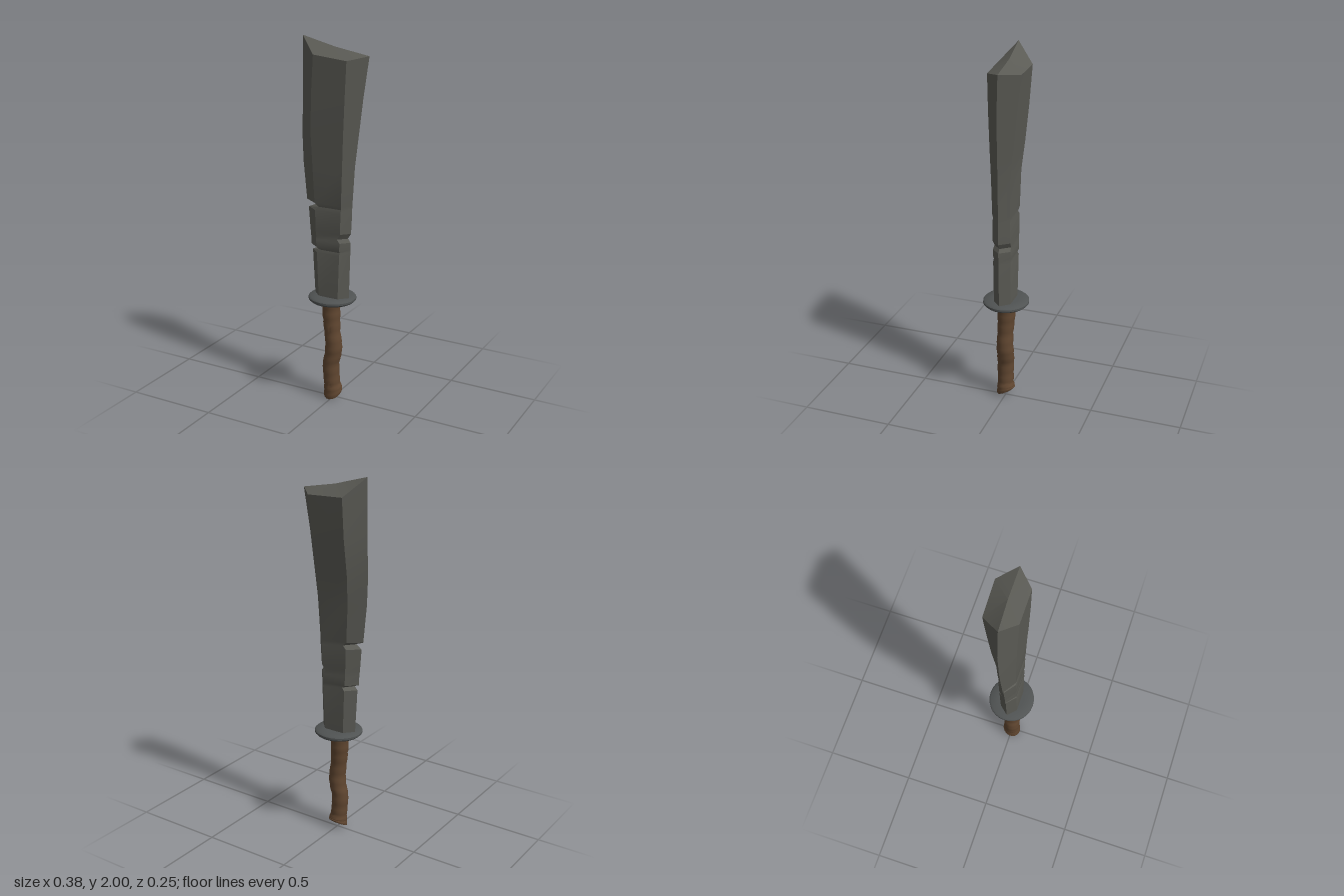
import * as THREE from 'three';
import { toCreasedNormals } from 'three/addons/utils/BufferGeometryUtils.js';

// Skin a stack of rings (bottom to top), closing each end with a fan to a centre point
function loft(rings, bottom, top, crease) {
  const n = rings[0].length;
  const pos = [...rings.flat(2), ...bottom, ...top];
  const idx = [];
  const b = rings.length * n, last = (rings.length - 1) * n;
  for (let r = 0; r < rings.length - 1; r++) {
    for (let i = 0; i < n; i++) {
      const a = r * n + i, c = r * n + (i + 1) % n;
      idx.push(a, c, c + n, a, c + n, a + n);
    }
  }
  for (let i = 0; i < n; i++) {
    const j = (i + 1) % n;
    idx.push(b, j, i, b + 1, last + i, last + j);
  }
  const g = new THREE.BufferGeometry();
  g.setAttribute('position', new THREE.Float32BufferAttribute(pos, 3));
  g.setIndex(idx);
  return toCreasedNormals(g, crease);
}

function makeBlade() {
  // y, left edge, left ridge, right ridge, right edge, front z, back z, edge z
  const sections = [
    [0.59, -0.11, -0.065, 0.05, 0.095, 0.05, -0.045, 0.005],
    [0.86, -0.125, -0.075, 0.06, 0.103, 0.05, -0.048, 0.005],
    [0.877, -0.09, -0.06, 0.06, 0.103, 0.046, -0.046, 0.005],
    [0.89, -0.135, -0.077, 0.06, 0.104, 0.05, -0.048, 0.005],
    [0.93, -0.135, -0.08, 0.062, 0.104, 0.05, -0.048, 0.005],
    [0.95, -0.137, -0.08, 0.045, 0.088, 0.047, -0.046, 0.005],
    [0.98, -0.14, -0.082, 0.065, 0.107, 0.05, -0.048, 0.005],
    [1.095, -0.15, -0.085, 0.068, 0.112, 0.05, -0.048, 0.003],
    [1.115, -0.105, -0.065, 0.069, 0.112, 0.046, -0.046, 0.003],
    [1.135, -0.16, -0.088, 0.07, 0.113, 0.05, -0.048, 0.003],
    [1.34, -0.182, -0.098, 0.078, 0.125, 0.053, -0.052, 0],
    [1.5, -0.19, -0.105, 0.085, 0.143, 0.057, -0.07, -0.004],
    [1.7, -0.187, -0.1, 0.095, 0.165, 0.06, -0.092, -0.01]
  ];
  const rings = sections.map(([y, l, fl, fr, r, f, b, e]) => [
    [l, y, e], [fl, y, f], [fr, y, f], [r, y, e], [fr, y, b], [fl, y, b]
  ]);
  // Slanted, bevelled tip
  rings.push([
    [-0.182, 2, -0.005], [-0.085, 1.915, 0.063], [0.105, 1.895, 0.06],
    [0.19, 1.915, -0.025], [0.1, 1.9, -0.115], [-0.1, 1.905, -0.108]
  ]);
  return loft(rings, [0, 0.59, 0], [0.0, 1.95, -0.02], 0.3);
}

function makeHandle() {
  // height, centre x, centre z, radius
  const keys = [
    [0.03, -0.005, 0, 0.05], [0.055, -0.004, 0, 0.05], [0.085, -0.008, 0.002, 0.045],
    [0.14, -0.012, 0.004, 0.045], [0.21, -0.014, 0.004, 0.046], [0.27, -0.002, 0.002, 0.047],
    [0.33, 0.002, 0.004, 0.046], [0.4, -0.006, 0.004, 0.044], [0.47, -0.012, 0.002, 0.047],
    [0.53, -0.015, 0, 0.049], [0.59, -0.015, 0, 0.05]
  ];
  const sides = 16, steps = 40;
  const centre = new THREE.CatmullRomCurve3(keys.map(k => new THREE.Vector3(k[1], k[0], k[2])));
  const radius = new THREE.CatmullRomCurve3(keys.map(k => new THREE.Vector3(k[3], k[0], 0)));
  const rings = [];
  for (let s = 0; s <= steps; s++) {
    const t = s / steps;
    const c = centre.getPoint(t);
    // Small regular swelling reads as wrapped leather
    const rad = radius.getPoint(t).x + (s % 4 === 0 ? -0.0015 : 0.001);
    const tilt = -0.12 - 0.4 * Math.max(0, 1 - t * 6);
    const ring = [];
    for (let i = 0; i < sides; i++) {
      const a = -i / sides * Math.PI * 2;
      const x = Math.cos(a) * rad, z = Math.sin(a) * rad;
      ring.push([c.x + x, c.y + z * tilt * (1 - t) + x * 0.1 * (1 - t), c.z + z]);
    }
    rings.push(ring);
  }
  return loft(rings, [-0.005, 0.027, 0], [-0.015, 0.59, 0], 0.7);
}

function makeGuard() {
  // Shallow dish with a rounded rim
  const profile = [
    [0, 0.56], [0.055, 0.56], [0.085, 0.573], [0.12, 0.585], [0.131, 0.595],
    [0.131, 0.606], [0.122, 0.614], [0.07, 0.614], [0, 0.612]
  ].map(p => new THREE.Vector2(p[0], p[1]));
  const g = toCreasedNormals(new THREE.LatheGeometry(profile, 28), 0.8);
  g.scale(1, 1, 0.96);
  g.translate(-0.008, 0, 0);
  return g;
}

export function createModel() {
  const steel = new THREE.MeshStandardMaterial({ name: 'dull steel', color: 0x5a5a54 });
  const iron = new THREE.MeshStandardMaterial({ name: 'dark iron', color: 0x505353 });
  const leather = new THREE.MeshStandardMaterial({ name: 'brown leather', color: 0x604630 });
  const model = new THREE.Group();
  model.name = 'machete';
  const add = (name, geometry, material) => {
    const mesh = new THREE.Mesh(geometry, material);
    mesh.name = name;
    model.add(mesh);
  };
  add('blade', makeBlade(), steel);
  add('guard', makeGuard(), iron);
  add('handle', makeHandle(), leather);
  return model;
}
